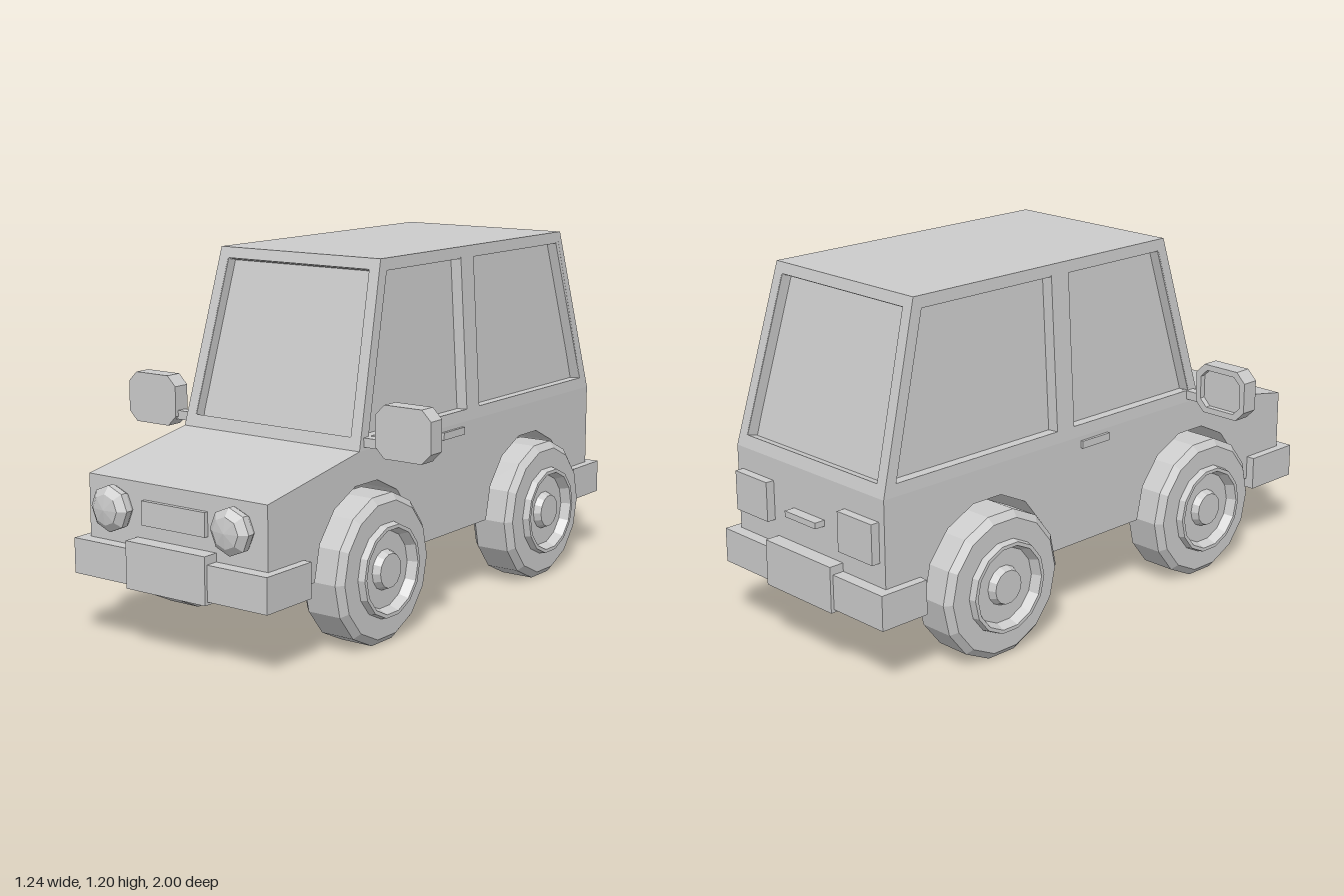
import * as THREE from 'three';

const material = new THREE.MeshStandardMaterial({ color: 0xcccccc, flatShading: true });
const V = (x, y, z) => new THREE.Vector3(x, y, z);
const shapeOf = (pts) => new THREE.Shape(pts.map(([x, y]) => new THREE.Vector2(x, y)));
const extrude = (shape, depth) => new THREE.ExtrudeGeometry(shape, { depth, bevelEnabled: false });

function add(parent, name, geometry) {
  const mesh = new THREE.Mesh(geometry, material);
  mesh.name = name;
  parent.add(mesh);
  return mesh;
}

// Box given by its min and max on each axis
function box(parent, name, [x0, x1], [y0, y1], [z0, z1]) {
  const g = new THREE.BoxGeometry(x1 - x0, y1 - y0, z1 - z0);
  return add(parent, name, g.translate((x0 + x1) / 2, (y0 + y1) / 2, (z0 + z1) / 2));
}

// Plate extruded inward from an outer quad (anticlockwise from outside), with recessed windows
function wall(parent, name, corners, windows = [], depth = 0.04) {
  const o = corners[0];
  const u = corners[1].clone().sub(o).normalize();
  const n = u.clone().cross(corners[3].clone().sub(o)).normalize();
  const v = n.clone().cross(u);
  const flat = (p) => {
    const d = p.clone().sub(o);
    return [d.dot(u), d.dot(v)];
  };
  const place = new THREE.Matrix4().makeBasis(u, v, n).setPosition(o.clone().addScaledVector(n, -depth));
  const outline = shapeOf(corners.map(flat));
  if (windows.length) add(parent, name + 'Glass', new THREE.ShapeGeometry(outline).applyMatrix4(place));
  const frame = outline.clone();
  frame.holes = windows.map((w) => shapeOf(w.map(flat)));
  add(parent, name, extrude(frame, depth).applyMatrix4(place));
}

const WHEEL_Z = [0.443, -0.527];
const WHEEL_Y = 0.24;
const BELT = 0.615, ROOF = 1.2;

function buildLowerBody(car) {
  // Side profile in (z, y), with a seven-sided arch over each wheel
  const pts = [[0.935, 0.535], [0.48, BELT], [-0.948, BELT], [-0.948, 0.247]];
  for (const zc of [...WHEEL_Z].reverse()) {
    for (let i = 0; i <= 7; i++) {
      const a = Math.PI * (1 - i / 7);
      pts.push([zc + 0.268 * Math.cos(a), 0.247 + 0.268 * Math.sin(a)]);
    }
  }
  pts.push([0.935, 0.247]);
  add(car, 'lowerBody', extrude(shapeOf(pts), 0.72).rotateY(-Math.PI / 2).translate(0.36, 0, 0));
}

function buildCabin(car) {
  const cabin = new THREE.Group();
  cabin.name = 'cabin';
  car.add(cabin);
  const sideX = (y) => 0.36 - 0.06 * (y - BELT);
  const xb = 0.36, xt = sideX(ROOF);
  const frontB = 0.48, frontT = 0.32, backB = -0.948, backT = -0.787;
  const lo = 0.655, hi = 1.165;

  // Windscreen and rear window walls
  const endWall = (name, s, zb, zt) => wall(cabin, name,
    [V(-s * xb, BELT, zb), V(s * xb, BELT, zb), V(s * xt, ROOF, zt), V(-s * xt, ROOF, zt)],
    [[[-0.32, lo], [0.32, lo], [0.29, hi], [-0.29, hi]].map(([x, y]) =>
      V(s * x, y, zb + (zt - zb) * (y - BELT) / (ROOF - BELT)))]);
  endWall('windscreenFrame', 1, frontB, frontT);
  endWall('rearWindowFrame', -1, backB, backT);

  // Side walls with two windows each
  const sideQuads = [
    [[frontB, BELT], [backB, BELT], [backT, ROOF], [frontT, ROOF]],
    [[0.43, lo], [-0.135, lo], [-0.135, hi], [0.293, hi]],
    [[-0.212, lo], [-0.896, lo], [-0.773, hi], [-0.212, hi]],
  ];
  for (const s of [1, -1]) {
    const quads = sideQuads.map((q) => {
      const p = q.map(([z, y]) => V(s * sideX(y), y, z));
      return s > 0 ? p : [p[1], p[0], p[3], p[2]];
    });
    wall(cabin, s > 0 ? 'leftWall' : 'rightWall', quads[0], quads.slice(1));
  }
  wall(cabin, 'roof', [V(-xt, ROOF, frontT), V(xt, ROOF, frontT), V(xt, ROOF, backT), V(-xt, ROOF, backT)]);
}

function buildWheels(car) {
  // Tyre, rim ring and hub in one turned profile: (radius, distance outward)
  const profile = [[0, 0.28], [0.225, 0.28], [0.245, 0.3], [0.245, 0.42], [0.222, 0.44], [0.155, 0.44],
    [0.15, 0.463], [0.138, 0.463], [0.125, 0.43], [0.066, 0.43], [0.056, 0.455], [0, 0.455]]
    .map(([r, d]) => new THREE.Vector2(r, d));
  WHEEL_Z.forEach((z, i) => {
    const end = i === 0 ? 'front' : 'rear';
    for (const s of [1, -1]) {
      const g = new THREE.LatheGeometry(profile, 14).rotateZ(-s * Math.PI / 2);
      add(car, end + (s > 0 ? 'LeftWheel' : 'RightWheel'), g).position.set(0, WHEEL_Y, z);
    }
    const axle = new THREE.CylinderGeometry(0.048, 0.048, 0.58, 12).rotateZ(Math.PI / 2);
    add(car, end + 'Axle', axle).position.set(0, WHEEL_Y, z);
  });
}

// U-shaped bumper wrapping the end of the body, plus its centre plate
function buildBumper(car, name, s, inner, outer) {
  const bar = outer - 0.07;
  const u = [[-0.39, inner], [-0.39, outer], [0.39, outer], [0.39, inner],
    [0.33, inner], [0.33, bar], [-0.33, bar], [-0.33, inner]].map(([x, z]) => [x, -s * z]);
  add(car, name, extrude(shapeOf(u), 0.115).rotateX(-Math.PI / 2).translate(0, 0.215, 0));
  const z = [s * (bar - 0.005), s * (outer + 0.011)].sort((a, b) => a - b);
  box(car, name + 'Plate', [-0.16, 0.16], [0.205, 0.358], z);
}

function buildMirror(car, s) {
  const mirror = new THREE.Group();
  mirror.name = s > 0 ? 'leftMirror' : 'rightMirror';
  car.add(mirror);
  // Rectangle with cut corners, shrunk by m
  const outline = (m) => {
    const w = 0.104 - m, h = 0.085 - m, c = 0.034 - m * 0.4;
    return shapeOf([[w - c, -h], [w, c - h], [w, h - c], [w - c, h], [c - w, h], [-w, h - c], [-w, c - h], [c - w, -h]]);
  };
  const x = s * 0.515, y = 0.686;
  add(mirror, 'mirrorShell', extrude(outline(0), 0.04).translate(x, y, 0.428));
  const rim = outline(0);
  rim.holes = [outline(0.02)];
  add(mirror, 'mirrorRim', extrude(rim, 0.02).translate(x, y, 0.408));
  const arm = [s * 0.34, s * 0.43].sort((a, b) => a - b);
  box(mirror, 'mirrorArm', arm, [0.625, 0.655], [0.42, 0.455]);
}

export function createModel() {
  const car = new THREE.Group();
  car.name = 'car';
  buildLowerBody(car);
  buildCabin(car);
  buildWheels(car);
  buildBumper(car, 'frontBumper', 1, 0.765, 0.979);
  buildBumper(car, 'rearBumper', -1, 0.81, 0.989);
  box(car, 'grille', [-0.128, 0.128], [0.403, 0.481], [0.92, 0.95]);
  box(car, 'tailgateHandle', [-0.075, 0.075], [0.455, 0.475], [-0.985, -0.94]);

  // Faceted headlights, tail lights, door handles and mirrors
  const lamp = [[0.06, 0.925], [0.075, 0.95], [0.075, 0.972], [0.05, 0.992], [0, 1]]
    .map(([r, z]) => new THREE.Vector2(r, z));
  for (const s of [1, -1]) {
    const side = s > 0 ? 'left' : 'right';
    const span = (a, b) => (s > 0 ? [a, b] : [-b, -a]);
    add(car, side + 'Headlight', new THREE.LatheGeometry(lamp, 8).rotateX(Math.PI / 2)).position.set(s * 0.243, 0.443, 0);
    box(car, side + 'TailLight', span(0.175, 0.335), [0.408, 0.54], [-0.978, -0.94]);
    box(car, side + 'DoorHandle', span(0.35, 0.37), [0.575, 0.6], [-0.105, 0.02]);
    buildMirror(car, s);
  }
  return car;
}
